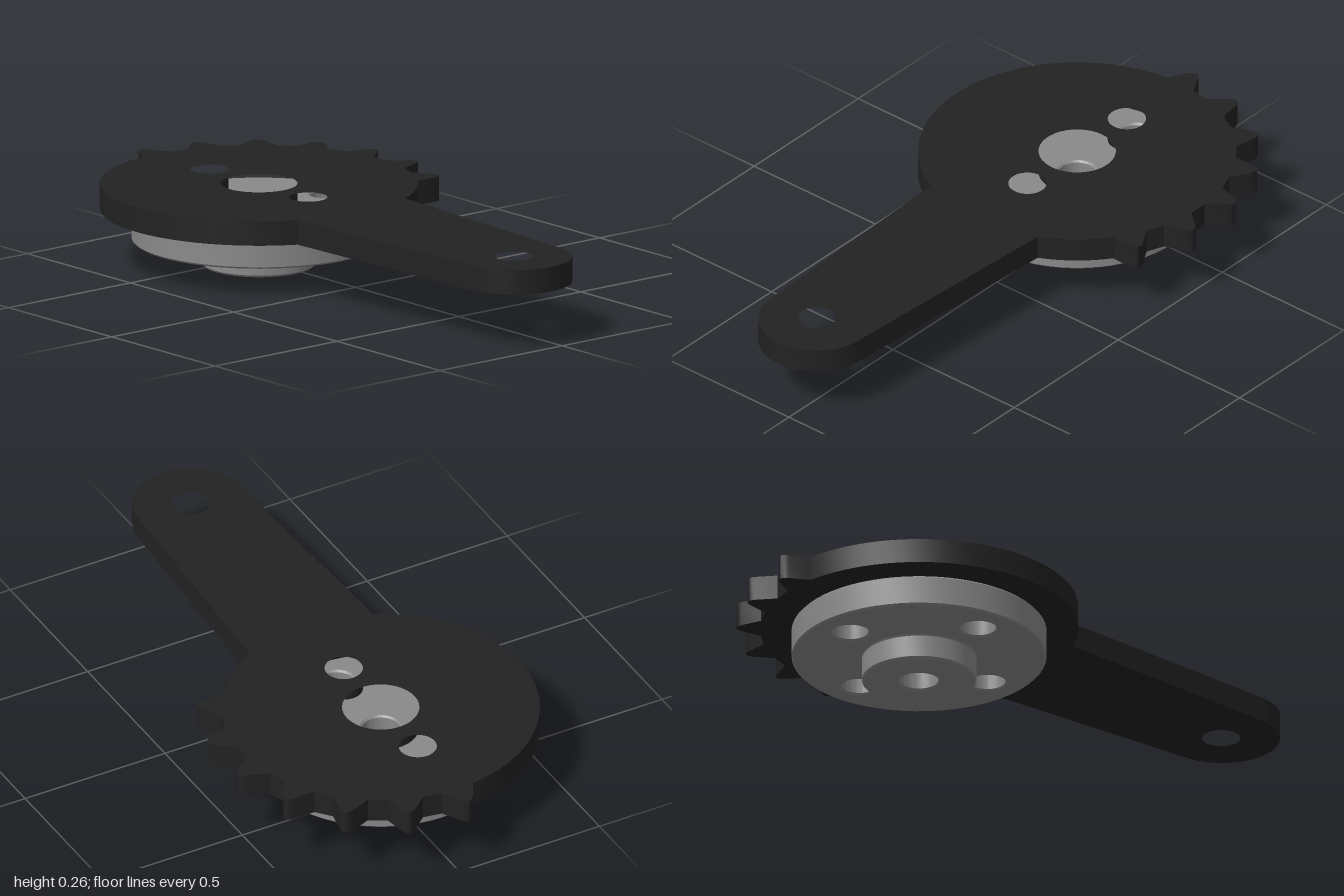
import * as THREE from 'three';
import { toCreasedNormals } from 'three/addons/utils/BufferGeometryUtils.js';

const rad = THREE.MathUtils.degToRad;
const DISC_R = 0.498;

// Point at an angle measured from the back (shape +y) towards +x
const polar = (deg, r) => new THREE.Vector2(r * Math.sin(rad(deg)), r * Math.cos(rad(deg)));

function addHole(shape, x, y, r) {
  const hole = new THREE.Path();
  hole.absarc(x, y, r, 0, Math.PI * 2, true);
  shape.holes.push(hole);
}

// Extrude a flat shape upwards from y = 0, smoothing only the curved walls
function slab(shape, height, bevel) {
  const geometry = new THREE.ExtrudeGeometry(shape, {
    depth: height - 2 * bevel, curveSegments: 32, bevelEnabled: bevel > 0,
    bevelThickness: bevel, bevelSize: bevel, bevelOffset: -bevel, bevelSegments: 1,
  });
  geometry.translate(0, 0, bevel);
  geometry.rotateX(-Math.PI / 2);
  return toCreasedNormals(geometry, 0.45);
}

function plateShape() {
  const pts = [];
  const arc = (from, to, step) => {
    const n = Math.max(1, Math.round((to - from) / step));
    for (let i = 0; i <= n; i++) pts.push(polar(from + (to - from) * i / n, DISC_R));
  };
  // Seven teeth with rounded tips, 20 degrees apart
  for (let a = 0; a <= 120; a += 20) {
    arc(a - 6.4, a - 6.4, 1);
    const at = (x, y) => new THREE.Vector2(x, y).rotateAround(new THREE.Vector2(), -rad(a));
    const tip = new THREE.QuadraticBezierCurve(at(-0.022, 0.556), at(0, 0.59), at(0.022, 0.556));
    pts.push(...tip.getPoints(6));
    if (a < 120) arc(a + 6.4, a + 6.4, 1);
  }
  // Plain rim, tapered arm with round end, plain rim
  arc(126.4, 153.8, 4);
  for (let i = 0; i <= 32; i++) {
    const t = -Math.PI * i / 32;
    pts.push(new THREE.Vector2(-0.008 + 0.182 * Math.cos(t), -1.245 + 0.182 * Math.sin(t)));
  }
  arc(206.2, 353.6, 3);
  pts.pop(); // the first tooth already starts here

  const shape = new THREE.Shape(pts);
  addHole(shape, 0, 0, 0.121);
  addHole(shape, 0, 0.239, 0.06);
  addHole(shape, 0, -0.239, 0.06);
  addHole(shape, -0.008, -1.242, 0.06);
  return shape;
}

function flangeShape() {
  const shape = new THREE.Shape();
  shape.absarc(0, 0, 0.399, 0, Math.PI * 2, false);
  addHole(shape, 0, 0, 0.061);
  for (let i = 0; i < 4; i++) {
    const p = polar(i * 90, 0.283);
    addHole(shape, p.x, p.y, 0.056);
  }
  return shape;
}

export function createModel() {
  const black = new THREE.MeshStandardMaterial({ color: 0x222222 });
  black.name = 'black plastic';
  const grey = new THREE.MeshStandardMaterial({ color: 0x8a8a8a });
  grey.name = 'grey metal';

  const model = new THREE.Group();
  model.name = 'gearArm';
  const add = (name, geometry, material, y) => {
    const mesh = new THREE.Mesh(geometry, material);
    mesh.name = name;
    mesh.position.set(-0.035, y, -0.427);
    model.add(mesh);
  };

  // Toothed disc and lever arm in one plate
  add('toothedArmPlate', slab(plateShape(), 0.079, 0), black, 0.182);

  // Round flange with four bolt holes
  add('hubFlange', slab(flangeShape(), 0.1, 0.006), grey, 0.082);

  // Bored boss under the flange
  const profile = [
    [0.061, 0.09], [0.061, 0.006], [0.067, 0], [0.172, 0],
    [0.179, 0.007], [0.179, 0.077], [0.184, 0.084],
  ].map(([r, y]) => new THREE.Vector2(r, y));
  add('hubBoss', toCreasedNormals(new THREE.LatheGeometry(profile, 64), 0.45), grey, 0);

  return model;
}
